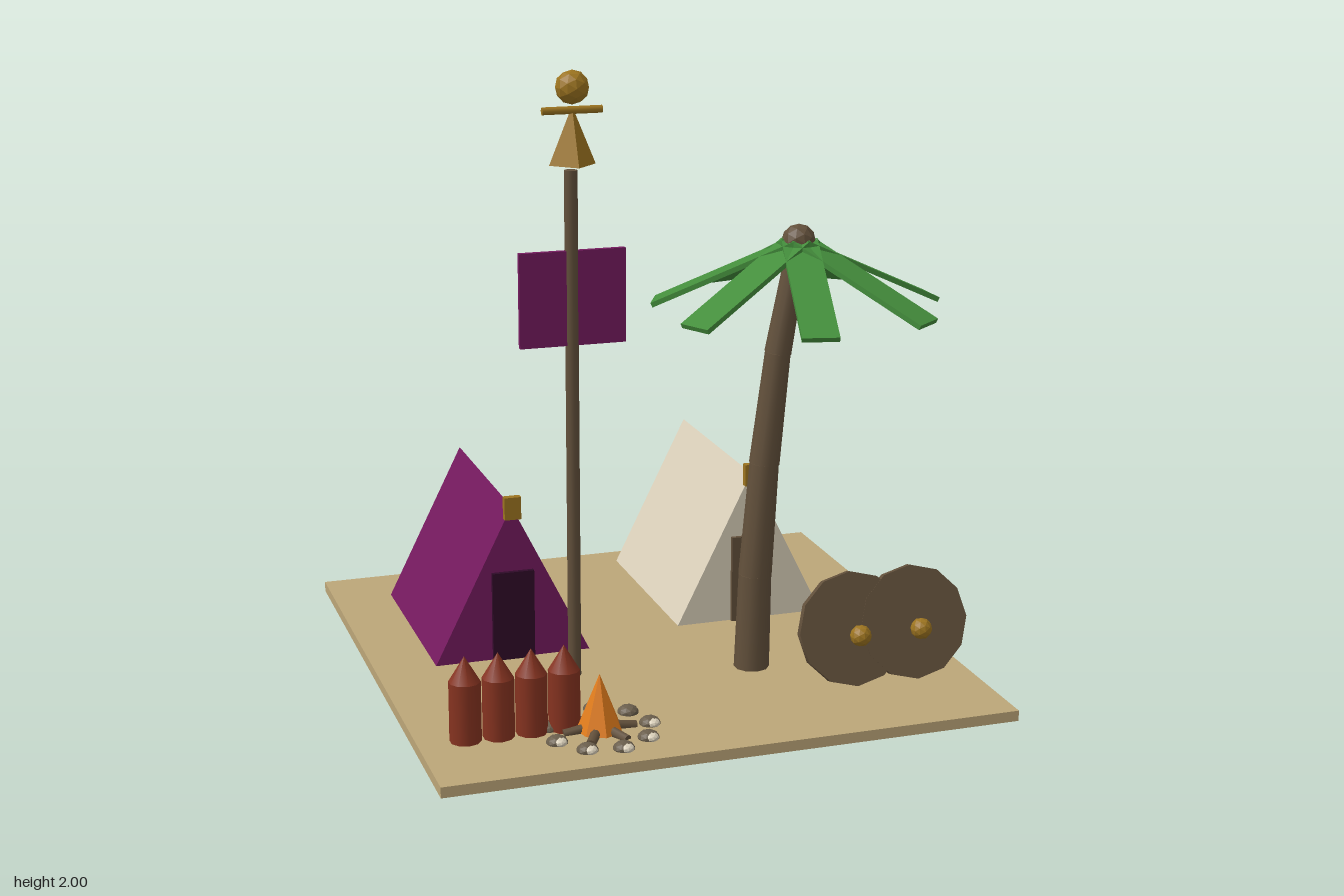
import * as THREE from 'three';

const mat = (name, color) => {
  const m = new THREE.MeshStandardMaterial({ color });
  m.name = name;
  return m;
};

export function createModel() {
  const root = new THREE.Group();
  root.name = 'desertCamp';
  const sand = mat('sand', 0xbca678), purple = mat('purple cloth', 0x741a5e);
  const darkPurple = mat('dark purple', 0x2f0a28), canvas = mat('pale canvas', 0xdad0ba);
  const wood = mat('brown wood', 0x62503b), green = mat('palm green', 0x448e3c);
  const gold = mat('old gold', 0x9c7420), clay = mat('red clay', 0x863320);
  const orange = mat('flame orange', 0xe07c1c), stone = mat('stone', 0x6a5e4c);

  const add = (name, geo, material, x = 0, y = 0, z = 0, parent = root) => {
    const m = new THREE.Mesh(geo, material);
    m.name = name;
    m.position.set(x, y, z);
    parent.add(m);
    return m;
  };
  const box = (w, h, d) => new THREE.BoxGeometry(w, h, d);
  const faceted = (geo) => {
    const g = geo.index ? geo.toNonIndexed() : geo;
    g.computeVertexNormals();
    return g;
  };
  const ball = (r) => faceted(new THREE.IcosahedronGeometry(r, 1));

  // cylinder running between two points
  const rod = (name, a, b, r0, r1, sides, material) => {
    const p = new THREE.Vector3(...a), q = new THREE.Vector3(...b);
    const dir = q.clone().sub(p);
    const m = add(name, new THREE.CylinderGeometry(r1, r0, dir.length(), sides), material);
    m.position.copy(p).add(q).multiplyScalar(0.5);
    m.quaternion.setFromUnitVectors(new THREE.Vector3(0, 1, 0), dir.normalize());
    return m;
  };

  // ground slab with a dark underside
  add('ground', box(1.836, 0.034, 1.836), [sand, sand, sand, wood, sand, sand], 0, 0.028, 0);

  // ridge tents with door panel and gable ornament
  const tent = (name, x, zFront, depth, cloth, door) => {
    const g = new THREE.Group();
    g.name = name;
    g.position.set(x, 0.045, zFront);
    root.add(g);
    const s = new THREE.Shape([[-0.26, 0], [0.26, 0], [0, 0.52]].map((p) => new THREE.Vector2(...p)));
    const geo = new THREE.ExtrudeGeometry(s, { depth, bevelEnabled: false });
    add(name + 'Cloth', geo, cloth, 0, 0, -depth, g);
    add(name + 'Door', box(0.14, 0.335, 0.02), door, 0, 0.1325, 0.005, g);
    add(name + 'Ornament', box(0.055, 0.075, 0.025), gold, 0, 0.518, 0.008, g);
  };
  tent('purpleTent', -0.46, 0.0, 0.715, purple, darkPurple);
  tent('paleTent', 0.407, -0.108, 0.71, canvas, wood);

  // flag pole with a small golden figure on top
  rod('flagPole', [-0.31, 0.045, 0.205], [-0.31, 1.69, 0.205], 0.021, 0.021, 10, wood);
  add('flag', box(0.342, 0.3, 0.018), purple, -0.308, 1.29, 0.205);
  add('figureBody', faceted(new THREE.ConeGeometry(0.074, 0.18, 4)), gold, -0.31, 1.8, 0.225);
  rod('figureArms', [-0.405, 1.877, 0.225], [-0.215, 1.877, 0.225], 0.012, 0.012, 8, gold);
  add('figureHead', ball(0.053), gold, -0.31, 1.947, 0.227);

  // palm trunk in four leaning segments
  const trunk = [[0.258, 0.005], [0.268, 0.36], [0.295, 0.73], [0.336, 1.09], [0.4, 1.44]];
  const radii = [[0.058, 0.053], [0.054, 0.047], [0.049, 0.041], [0.043, 0.034]];
  radii.forEach(([r0, r1], i) => {
    const [a, b] = [trunk[i], trunk[i + 1]];
    rod('trunkSegment', [a[0], a[1], 0.308], [b[0], b[1], 0.308], r0, r1, 10, wood);
  });
  add('palmCrown', ball(0.054), wood, 0.402, 1.446, 0.305);

  // seven drooping fronds
  for (let i = 0; i < 7; i++) {
    const pivot = new THREE.Group();
    pivot.name = 'frond';
    pivot.position.set(0.403, 1.45, 0.305);
    pivot.rotation.y = (i * Math.PI * 2) / 7;
    root.add(pivot);
    const leaf = add('frondBlade', box(0.5, 0.016, 0.115), green, 0.232, -0.108, 0, pivot);
    leaf.rotation.z = -0.435;
  }

  // row of jars with pointed lids
  for (let i = 0; i < 4; i++) {
    const x = -0.77 + i * 0.103;
    add('jar', new THREE.CylinderGeometry(0.049, 0.049, 0.19, 10), clay, x, 0.14, 0.612);
    add('jarLid', new THREE.ConeGeometry(0.049, 0.08, 10), clay, x, 0.275, 0.612);
  }

  // campfire: flame, flat logs and stone ring
  const fx = -0.363, fz = 0.66;
  add('flame', faceted(new THREE.ConeGeometry(0.073, 0.18, 7)), orange, fx, 0.137, fz);
  for (let i = 0; i < 6; i++) {
    const a = (i * Math.PI) / 3, c = Math.cos(a), s = Math.sin(a);
    rod('fireLog', [fx + c * 0.115, 0.045, fz + s * 0.115], [fx + c * 0.02, 0.06, fz + s * 0.02],
      0.016, 0.016, 8, wood);
  }
  for (let i = 0; i < 9; i++) {
    const a = (i * Math.PI * 2) / 9;
    const x = fx + Math.cos(a) * 0.16, z = fz + Math.sin(a) * 0.16;
    add('ringStone', ball(0.034), stone, x, 0.048, z).scale.y = 0.65;
    // pale chips on the near stones
    if (i < 5) add('paleChip', ball(0.023), canvas, x + 0.005, 0.052, z + 0.014).scale.y = 0.65;
  }

  // leaning double-lobed shield with two studs
  const shield = new THREE.Group();
  shield.name = 'shield';
  shield.position.set(0.563, 0.278, 0.664);
  shield.rotation.x = -0.245;
  root.add(shield);
  for (const side of [-1, 1]) {
    const disc = add('shieldLobe', new THREE.CylinderGeometry(0.18, 0.18, 0.024, 12), wood,
      side * 0.102, 0, side * 0.0005, shield);
    disc.rotation.x = Math.PI / 2;
    add('shieldStud', ball(0.034), gold, 0.563 + side * 0.102, 0.278, 0.73);
  }
  return root;
}
